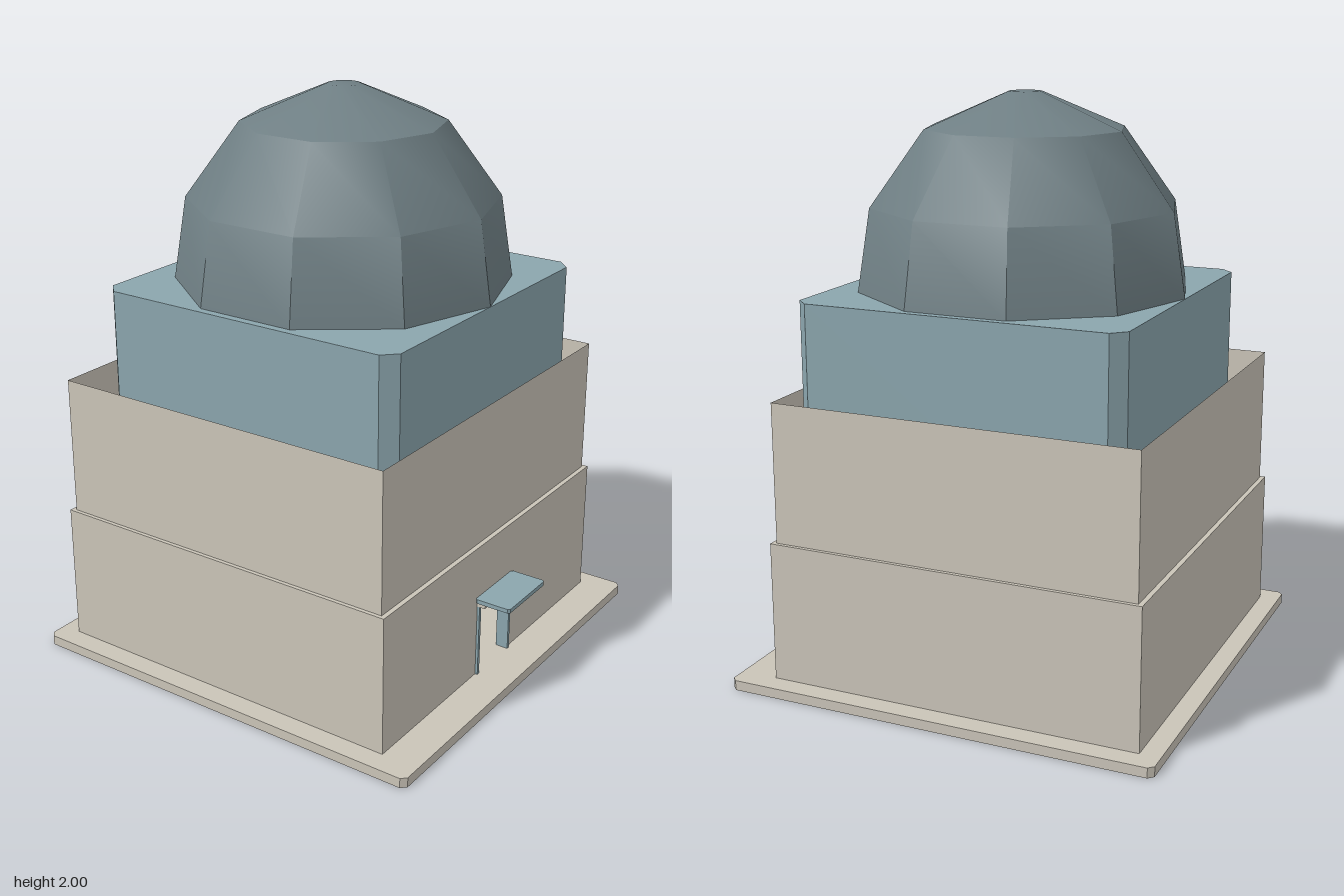
import * as THREE from 'three';
import { toCreasedNormals } from 'three/addons/utils/BufferGeometryUtils.js';

export function createModel() {
  const model = new THREE.Group();
  model.name = 'domedTower';
  const stone = new THREE.MeshStandardMaterial({ color: 0xcac4b8, side: THREE.DoubleSide });
  stone.name = 'paleStone';
  const blue = new THREE.MeshStandardMaterial({ color: 0x8ba5ad });
  blue.name = 'greyBlue';
  const slate = new THREE.MeshStandardMaterial({ color: 0x6f7f84, side: THREE.DoubleSide });
  slate.name = 'slate';

  const add = (name, geometry, material, parent = model) => {
    const mesh = new THREE.Mesh(geometry, material);
    mesh.name = name;
    parent.add(mesh);
    return mesh;
  };

  // Box given by its limits
  const box = (name, x0, x1, y0, y1, z0, z1, material, parent) =>
    add(name, new THREE.BoxGeometry(x1 - x0, y1 - y0, z1 - z0), material, parent)
      .position.set((x0 + x1) / 2, (y0 + y1) / 2, (z0 + z1) / 2);

  // Upright prism with chamfered corners, w by d in plan
  const slab = (name, w, d, y0, y1, c, material, x = 0, parent = model) => {
    const a = w / 2, b = d / 2;
    const outline = [
      [a - c, -b], [a, c - b], [a, b - c], [a - c, b],
      [c - a, b], [-a, b - c], [-a, c - b], [c - a, -b],
    ].map(([u, v]) => new THREE.Vector2(u, v));
    const g = new THREE.ExtrudeGeometry(new THREE.Shape(outline), { depth: y1 - y0, bevelEnabled: false });
    g.rotateX(-Math.PI / 2);
    add(name, g, material, parent).position.set(x, y0, 0);
  };

  // Four thin walls, open at the top; an optional doorway on the +x side
  const walls = (name, w, d, y0, y1, cx, door) => {
    const group = new THREE.Group();
    group.name = name;
    for (let i = 0; i < 4; i++) {
      const alongX = i % 2 === 0;
      const half = (alongX ? w : d) / 2;
      const outline = [[-half, y0], [half, y0], [half, y1], [-half, y1]];
      if (door && i === 1) {
        outline.splice(1, 0, [-door.half, y0], [-door.half, door.top], [door.half, door.top], [door.half, y0]);
      }
      const shape = new THREE.Shape(outline.map(([u, v]) => new THREE.Vector2(u, v)));
      const g = new THREE.ShapeGeometry(shape);
      g.translate(0, 0, (alongX ? d : w) / 2);
      g.rotateY(i * Math.PI / 2);
      add('wall', g, stone, group);
    }
    group.position.x = cx;
    model.add(group);
    return group;
  };

  // Base plate and the two storeys
  slab('basePlate', 1.53, 1.53, 0, 0.035, 0.018, stone);
  const lower = walls('lowerStorey', 1.326, 1.38, 0.035, 0.525, -0.031, { half: 0.1, top: 0.3 });
  const roof = new THREE.PlaneGeometry(1.326, 1.38).rotateX(-Math.PI / 2).translate(0, 0.525, 0);
  add('lowerRoof', roof, stone, lower);
  walls('upperStorey', 1.292, 1.353, 0.525, 1.015, -0.031);

  // Drum under the dome
  slab('drum', 1.16, 1.16, 0.53, 1.335, 0.047, blue);

  // Ten-sided dome
  const profile = [[0.58, 1.335], [0.535, 1.62], [0.348, 1.877], [0.057, 2], [0, 2]]
    .map(([r, y]) => new THREE.Vector2(r, y));
  const dome = new THREE.LatheGeometry(profile, 10, Math.PI / 2);
  add('dome', toCreasedNormals(dome, Math.PI / 6), slate);

  // Doorway: side posts, lintel and canopy
  const entrance = new THREE.Group();
  entrance.name = 'entrance';
  model.add(entrance);
  for (const s of [-1, 1]) {
    box('doorPost', 0.595, 0.641, 0.035, 0.31, s * 0.105 - 0.006, s * 0.105 + 0.006, blue, entrance);
  }
  box('lintel', 0.625, 0.662, 0.3, 0.32, -0.112, 0.112, stone, entrance);
  slab('canopy', 0.133, 0.25, 0.32, 0.335, 0.008, blue, 0.697, entrance);

  return model;
}
